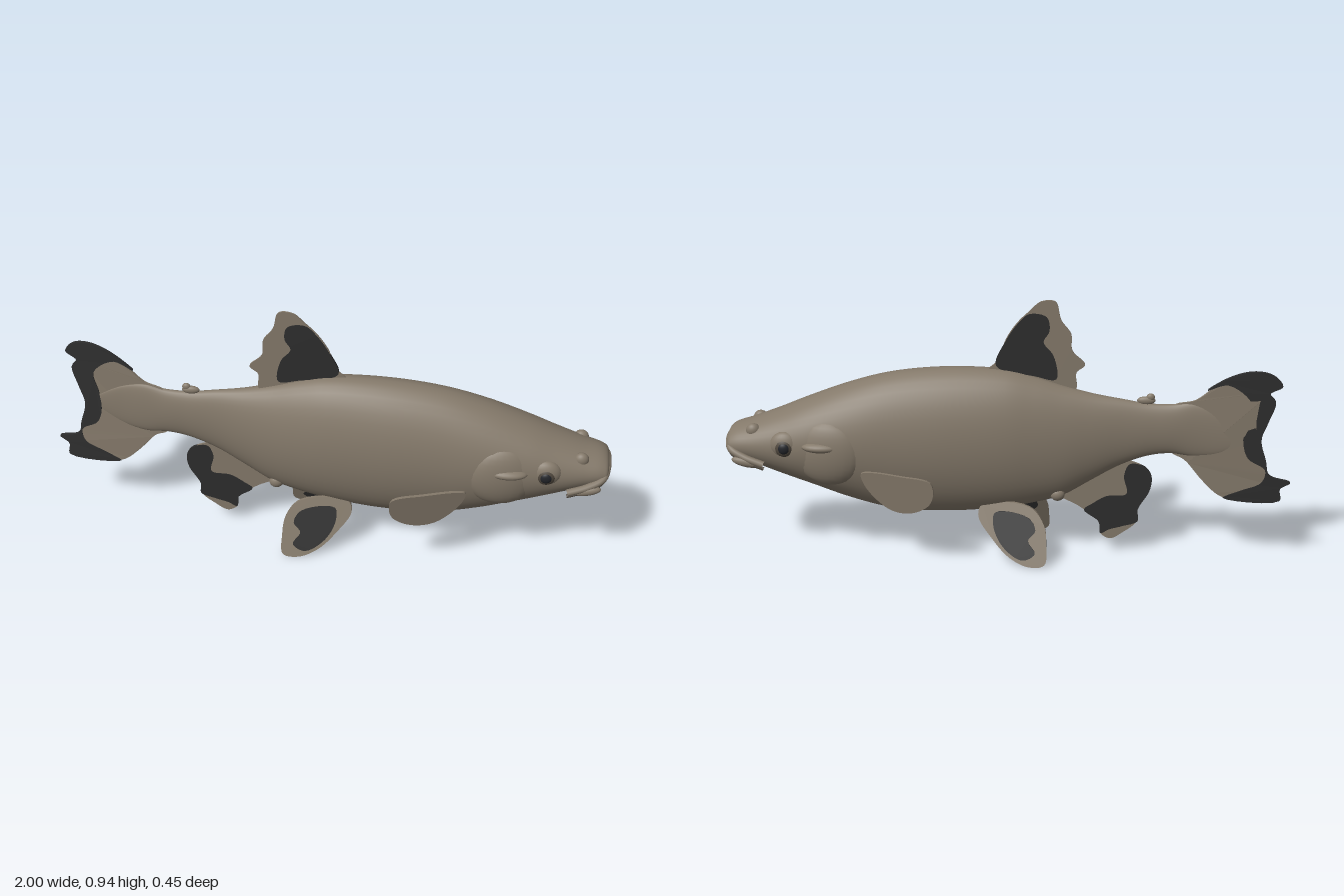
import * as THREE from 'three';

const mat = (name, color) => Object.assign(new THREE.MeshStandardMaterial({ color }), { name });

export function createModel() {
  const fish = new THREE.Group();
  fish.name = 'fish';
  const skin = mat('brown skin', 0x84796a);
  const black = mat('black fin patch', 0x2e2e2e);
  const shade = mat('dark brown lines', 0x51493f);
  const pupilMat = mat('eye pupil', 0x23252a);

  const add = (name, geometry, material, x = 0, y = 0, z = 0) => {
    const mesh = new THREE.Mesh(geometry, material);
    mesh.name = name;
    mesh.position.set(x, y, z);
    fish.add(mesh);
    return mesh;
  };
  const bump = (name, x, y, z, sx, sy, sz, material = skin) => {
    const mesh = add(name, new THREE.SphereGeometry(1, 24, 16), material, x, y, z);
    mesh.scale.set(sx, sy, sz);
    return mesh;
  };

  // Body: oval sections [x, bottom, top, half width, centre z], smoothed along the length
  const sections = [
    [-0.85, 0.45, 0.5, 0.002, -0.05], [-0.75, 0.4, 0.56, 0.01, -0.037],
    [-0.66, 0.385, 0.585, 0.02, -0.024], [-0.58, 0.392, 0.575, 0.028, -0.017],
    [-0.5, 0.38, 0.575, 0.033, -0.014], [-0.4, 0.34, 0.59, 0.043, -0.012],
    [-0.3, 0.28, 0.607, 0.062, -0.01], [-0.2, 0.22, 0.632, 0.085, -0.008],
    [-0.1, 0.19, 0.662, 0.106, -0.005], [0, 0.17, 0.685, 0.123, -0.003],
    [0.2, 0.15, 0.69, 0.14, 0], [0.4, 0.157, 0.668, 0.145, 0],
    [0.55, 0.195, 0.627, 0.147, 0], [0.7, 0.25, 0.57, 0.14, 0],
    [0.8, 0.287, 0.527, 0.126, 0], [0.9, 0.325, 0.488, 0.108, 0],
    [0.965, 0.345, 0.466, 0.092, 0], [0.985, 0.36, 0.45, 0.08, 0], [0.992, 0.4, 0.41, 0.01, 0],
  ];
  const path = k => new THREE.CatmullRomCurve3(sections.map(s => new THREE.Vector3(s[0], s[k], s[k + 1])));
  const heights = path(1), widths = path(3);
  const rings = 108, sides = 40, pos = [], idx = [];
  for (let i = 0; i <= rings; i++) {
    const h = heights.getPoint(i / rings), w = widths.getPoint(i / rings);
    for (let j = 0; j < sides; j++) {
      const t = (j / sides) * Math.PI * 2;
      pos.push(h.x, (h.y + h.z) / 2 + Math.cos(t) * (h.z - h.y) / 2, w.z + Math.sin(t) * w.y);
      if (i === rings) continue;
      const a = i * sides + j, c = i * sides + (j + 1) % sides;
      idx.push(a, c, a + sides, c, c + sides, a + sides);
    }
  }
  const bodyGeo = new THREE.BufferGeometry();
  bodyGeo.setAttribute('position', new THREE.Float32BufferAttribute(pos, 3));
  bodyGeo.setIndex(idx);
  bodyGeo.computeVertexNormals();
  add('body', bodyGeo, skin);

  // Fin plate: smooth outline, thin, leaned sideways by a rule z(x, y)
  const plate = (name, outline, material, thick, lean) => {
    const curve = new THREE.CatmullRomCurve3(
      outline.map(([x, y]) => new THREE.Vector3(x, y, 0)), true, 'centripetal');
    const geo = new THREE.ExtrudeGeometry(new THREE.Shape(curve.getPoints(outline.length * 6).slice(0, -1)),
      { depth: thick, bevelEnabled: false });
    const p = geo.attributes.position;
    for (let i = 0; i < p.count; i++) {
      p.setZ(i, p.getZ(i) - thick / 2 + lean(p.getX(i), p.getY(i)));
    }
    geo.computeVertexNormals();
    return add(name, geo, material);
  };
  const fin = (name, outline, patch, lean, thick = 0.006) => {
    plate(name, outline, skin, thick, lean);
    if (patch) plate(name + 'Patch', patch, black, thick + 0.003, lean);
  };

  fin('dorsalFin',
    [[0.07, 0.675], [0.03, 0.72], [0, 0.8], [-0.04, 0.86], [-0.08, 0.9], [-0.12, 0.935], [-0.17, 0.935],
      [-0.19, 0.87], [-0.225, 0.82], [-0.23, 0.76], [-0.275, 0.71], [-0.245, 0.68], [-0.245, 0.62],
      [-0.2, 0.59], [0, 0.63]],
    [[0.035, 0.7], [0.005, 0.785], [-0.04, 0.855], [-0.08, 0.89], [-0.14, 0.88], [-0.15, 0.83],
      [-0.13, 0.79], [-0.165, 0.74], [-0.175, 0.655], [-0.1, 0.665]],
    () => -0.004);

  fin('tailFin',
    [[-0.58, 0.565], [-0.66, 0.595], [-0.72, 0.645], [-0.78, 0.69], [-0.86, 0.715], [-0.92, 0.705],
      [-0.95, 0.67], [-0.91, 0.64], [-0.93, 0.61], [-0.91, 0.535], [-0.89, 0.465], [-0.91, 0.385],
      [-0.925, 0.33], [-1, 0.305], [-0.965, 0.28], [-0.965, 0.235], [-0.77, 0.235], [-0.7, 0.29],
      [-0.63, 0.37], [-0.58, 0.4]],
    [[-0.7, 0.635], [-0.78, 0.692], [-0.86, 0.717], [-0.92, 0.707], [-0.952, 0.67], [-0.912, 0.64],
      [-0.932, 0.61], [-0.912, 0.535], [-0.892, 0.465], [-0.912, 0.385], [-0.927, 0.33], [-1, 0.307],
      [-0.967, 0.28], [-0.967, 0.233], [-0.77, 0.233], [-0.83, 0.265], [-0.9, 0.3], [-0.91, 0.35],
      [-0.85, 0.39], [-0.83, 0.45], [-0.835, 0.52], [-0.85, 0.6], [-0.77, 0.66]],
    (x, y) => -0.015 + (x + 0.58) * 0.13 + (y - 0.45) * (x + 0.58) * 0.2, 0.008);

  fin('analFin',
    [[-0.49, 0.335], [-0.515, 0.3], [-0.51, 0.245], [-0.47, 0.17], [-0.47, 0.125], [-0.42, 0.08],
      [-0.375, 0.055], [-0.34, 0.075], [-0.335, 0.12], [-0.26, 0.18], [-0.19, 0.225], [-0.24, 0.32],
      [-0.42, 0.36]],
    [[-0.49, 0.337], [-0.517, 0.3], [-0.512, 0.245], [-0.472, 0.17], [-0.472, 0.125], [-0.42, 0.105],
      [-0.37, 0.09], [-0.34, 0.075], [-0.333, 0.12], [-0.28, 0.165], [-0.31, 0.19], [-0.36, 0.22],
      [-0.43, 0.23], [-0.42, 0.3], [-0.44, 0.345]],
    () => -0.011);

  // Paired parts, mirrored across the midline
  for (const s of [1, -1]) {
    const side = s > 0 ? 'near' : 'far';
    fin(side + 'PelvicFin',
      [[-0.09, 0.2], [-0.14, 0.145], [-0.15, 0.08], [-0.145, 0.015], [-0.09, 0.004], [-0.02, 0.03],
        [0.045, 0.09], [0.095, 0.16], [0.08, 0.2]],
      [[-0.085, 0.165], [0.035, 0.175], [0.04, 0.13], [0.005, 0.065], [-0.065, 0.025], [-0.11, 0.05],
        [-0.085, 0.09], [-0.11, 0.125]],
      (x, y) => s * (0.07 + (0.2 - y) * 0.42 - x * 0.12), 0.01);
    fin(side + 'PectoralFin',
      [[0.5, 0.34], [0.47, 0.35], [0.36, 0.35], [0.25, 0.34], [0.24, 0.3], [0.255, 0.255], [0.3, 0.22],
        [0.35, 0.207], [0.4, 0.215], [0.45, 0.25], [0.49, 0.3]],
      null, (x, y) => s * (0.142 + (0.5 - x) * 0.29 + (y - 0.3) * 0.12), 0.012);

    // Gill cover, cheek ridge and vent lobe
    bump(side + 'GillCover', 0.62, 0.4, s * 0.105, 0.13, 0.12, 0.052).rotation.y = s * 0.12;
    bump(side + 'CheekRidge', 0.64, 0.43, s * 0.13, 0.07, 0.02, 0.035);
    bump(side + 'VentLobe', -0.185, 0.235, s * 0.035 - 0.008, 0.026, 0.024, 0.02);

    // Eye: socket, ring and pupil
    bump(side + 'EyeSocket', 0.77, 0.427, s * 0.108, 0.056, 0.05, 0.03);
    bump(side + 'EyeRing', 0.772, 0.422, s * 0.124, 0.034, 0.034, 0.018, shade);
    bump(side + 'Pupil', 0.772, 0.422, s * 0.134, 0.021, 0.021, 0.012, pupilMat);

    // Nostril and the flap at the corner of the mouth
    bump(side + 'Nostril', 0.89, 0.464, s * 0.068, 0.026, 0.026, 0.02);
    bump(side + 'MouthFlap', 0.912, 0.357, s * 0.105, 0.055, 0.018, 0.018).rotation.z = 0.2;
  }

  // Lips: an arch round the snout with a dark mouth line under it
  const arch = (dy, dx) => new THREE.CatmullRomCurve3(
    [[0.85, 0.352, 0.118], [0.92, 0.374, 0.106], [0.97, 0.398, 0.085], [0.983, 0.418, 0.045],
      [0.985, 0.424, 0], [0.983, 0.418, -0.045], [0.97, 0.398, -0.085], [0.92, 0.374, -0.106],
      [0.85, 0.352, -0.118]].map(([x, y, z]) => new THREE.Vector3(x + dx, y + dy, z)));
  add('upperLip', new THREE.TubeGeometry(arch(0, 0), 60, 0.013, 10), skin);
  add('mouthLine', new THREE.TubeGeometry(arch(-0.015, -0.001), 60, 0.007, 8), shade);

  // Small fleshy nub on the back near the tail
  bump('backNub', -0.49, 0.585, -0.012, 0.032, 0.015, 0.012);
  bump('backNubTip', -0.505, 0.597, -0.012, 0.015, 0.014, 0.01);

  return fish;
}
